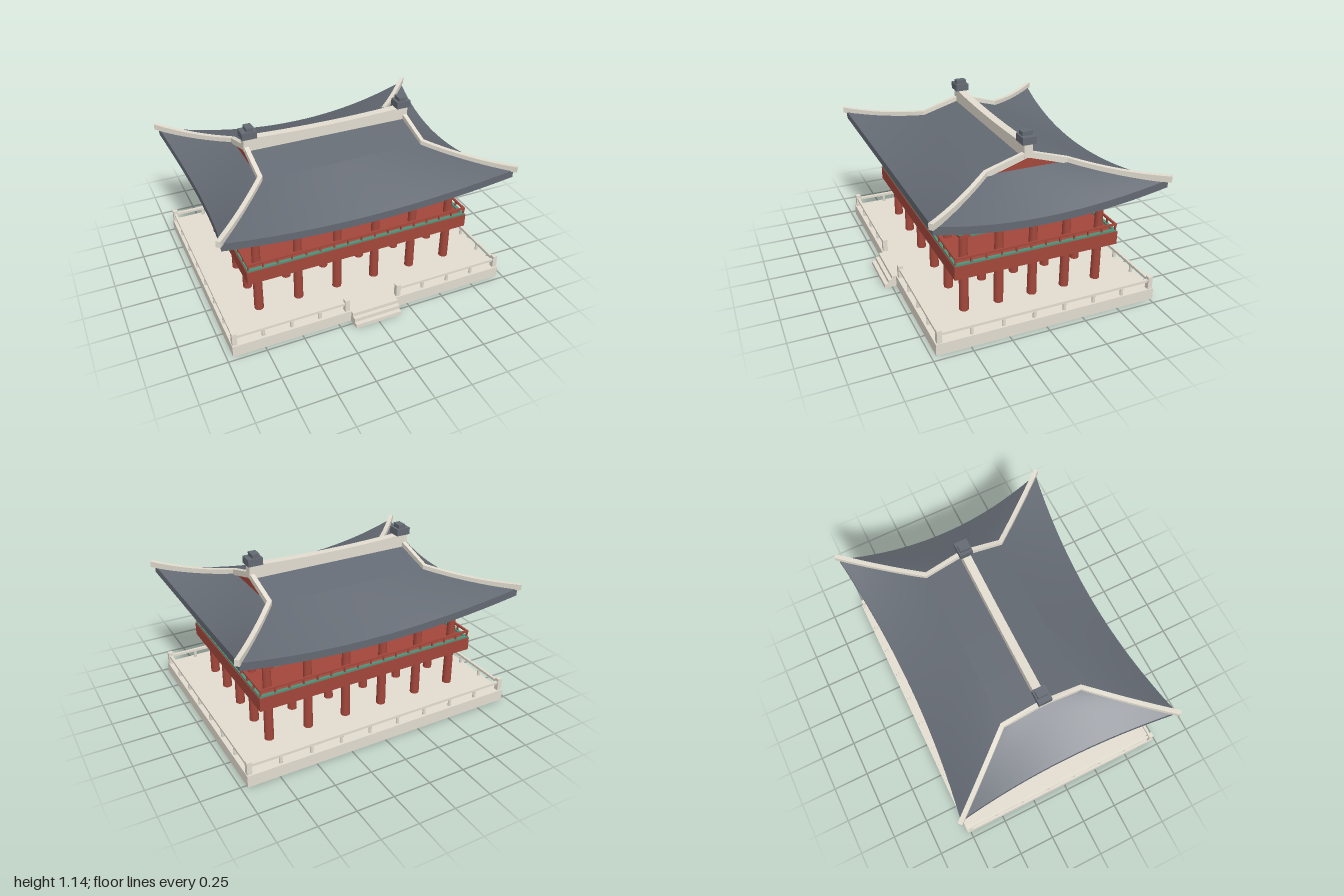
import * as THREE from 'three';

const mat = (name, color) => Object.assign(new THREE.MeshStandardMaterial({ color }), { name });
const M = {
  stone: mat('pale stone', 0xe3ddd0),
  red: mat('red wood', 0xa3473b),
  green: mat('green wood', 0x529279),
  soffit: mat('dark green soffit', 0x356b62),
  tile: mat('slate tile', 0x646a73),
  bronze: mat('bell bronze', 0x5b6067),
};

const lerp = THREE.MathUtils.lerp;

function add(parent, name, geo, material, x = 0, y = 0, z = 0) {
  const m = new THREE.Mesh(geo, material);
  m.name = name;
  m.position.set(x, y, z);
  parent.add(m);
  return m;
}
const group = (parent, name, z = 0) => {
  const g = new THREE.Group();
  g.name = name;
  g.position.z = z;
  parent.add(g);
  return g;
};
// box from its bottom height
const box = (p, name, m, w, h, d, x, y, z) =>
  add(p, name, new THREE.BoxGeometry(w, h, d), m, x, y + h / 2, z);
// upright cylinder from y0 to y1
const post = (p, name, m, r0, r1, y0, y1, x, z, n = 14) =>
  add(p, name, new THREE.CylinderGeometry(r1, r0, y1 - y0, n), m, x, (y0 + y1) / 2, z);
// rectangular ring of four bars
function frame(p, name, m, hx, hz, y, h, t) {
  for (const s of [-1, 1]) {
    box(p, name, m, 2 * hx + t, h, t, 0, y, s * hz);
    box(p, name, m, t, h, 2 * hz - t, s * hx, y, 0);
  }
}

// smooth patch: u runs along, v runs outward and down
function patch(fn, nu, nv) {
  const pos = [], idx = [];
  for (let j = 0; j <= nv; j++)
    for (let i = 0; i <= nu; i++) pos.push(...fn((i / nu) * 2 - 1, j / nv));
  for (let j = 0; j < nv; j++)
    for (let i = 0; i < nu; i++) {
      const a = j * (nu + 1) + i, b = a + nu + 1;
      idx.push(a, b, a + 1, b, b + 1, a + 1);
    }
  const g = new THREE.BufferGeometry();
  g.setAttribute('position', new THREE.Float32BufferAttribute(pos, 3));
  g.setIndex(idx);
  g.computeVertexNormals();
  return g;
}

// square-section bar swept along points on its top centreline
function bar(points, w, h) {
  const pos = [];
  const quad = (a, b, c, d) => [a, b, c, a, c, d].forEach((v) => pos.push(v.x, v.y, v.z));
  const rings = points.map((p, i) => {
    const t = new THREE.Vector3();
    for (const [a, b] of [[i - 1, i], [i, i + 1]])
      if (points[a] && points[b]) t.add(points[b].clone().sub(points[a]).setY(0).normalize());
    t.normalize();
    const n = new THREE.Vector3(-t.z, 0, t.x).multiplyScalar(w / 2);
    const A = p.clone().add(n), B = p.clone().sub(n), dn = new THREE.Vector3(0, -h, 0);
    return [A, B, B.clone().add(dn), A.clone().add(dn)];
  });
  for (let i = 0; i < rings.length - 1; i++)
    for (let j = 0; j < 4; j++) {
      const k = (j + 1) % 4;
      quad(rings[i][j], rings[i + 1][j], rings[i + 1][k], rings[i][k]);
    }
  quad(...rings[0]);
  quad(...rings[rings.length - 1].slice().reverse());
  const g = new THREE.BufferGeometry();
  g.setAttribute('position', new THREE.Float32BufferAttribute(pos, 3));
  g.computeVertexNormals();
  return g;
}

function buildTerrace(p) {
  // paving slab on a hollow kerb
  box(p, 'terraceSlab', M.stone, 1.92, 0.015, 1.49, 0, 0.065, 0);
  frame(p, 'terraceKerb', M.stone, 0.953, 0.738, 0, 0.065, 0.014);
  [[0.08, 0.028], [0.053, 0.055], [0.027, 0.08]].forEach(([d, h]) =>
    box(p, 'step', M.stone, 0.325, h, d, 0, 0, 0.745 + d / 2));
  const X = 0.94, Z = 0.72, gate = 0.185;
  const fence = (x0, z0, x1, z1, n) => {
    box(p, 'stoneRail', M.stone, Math.abs(x1 - x0) + 0.018, 0.018, Math.abs(z1 - z0) + 0.018,
      (x0 + x1) / 2, 0.128, (z0 + z1) / 2);
    for (let i = 1; i < n; i++)
      post(p, 'railSupport', M.stone, 0.011, 0.011, 0.08, 0.13, lerp(x0, x1, i / n), lerp(z0, z1, i / n), 10);
  };
  fence(-X, -Z, X, -Z, 9);
  for (const s of [-1, 1]) {
    fence(s * X, -Z, s * X, Z, 7);
    fence(s * X, Z, s * gate, Z, 4);
    for (const [x, z] of [[X, Z], [X, -Z], [gate, Z]])
      box(p, 'railPost', M.stone, 0.032, 0.087, 0.032, s * x, 0.08, z);
  }
}

function buildPavilion(p) {
  const CX = 0.69, CZ = 0.465;
  // columns: full grid below, perimeter only above
  for (let i = 0; i < 6; i++)
    for (let j = 0; j < 5; j++) {
      const x = lerp(-CX, CX, i / 5), z = lerp(-CZ, CZ, j / 4);
      post(p, 'lowerColumn', M.red, 0.031, 0.029, 0.08, 0.37, x, z);
      if (i % 5 && j % 4) continue;
      post(p, 'upperColumn', M.red, 0.028, 0.026, 0.45, 0.64, x, z);
      box(p, 'columnHead', M.red, 0.07, 0.03, 0.07, x, 0.6, z);
    }
  // deck and balustrade
  box(p, 'deck', M.red, 1.56, 0.09, 1.11, 0, 0.36, 0);
  frame(p, 'deckTrim', M.green, 0.765, 0.54, 0.45, 0.012, 0.02);
  frame(p, 'handrail', M.red, 0.768, 0.543, 0.492, 0.012, 0.014);
  for (const s of [-1, 1]) {
    for (let i = 0; i <= 16; i++)
      box(p, 'baluster', M.red, 0.01, 0.034, 0.01, lerp(-0.768, 0.768, i / 16), 0.46, s * 0.543);
    for (let i = 1; i < 11; i++)
      box(p, 'baluster', M.red, 0.01, 0.034, 0.01, s * 0.768, 0.46, lerp(-0.543, 0.543, i / 11));
  }
  // lintel and bracket sets
  frame(p, 'lintel', M.green, CX, CZ, 0.595, 0.037, 0.04);
  frame(p, 'bracketWall', M.soffit, CX, CZ, 0.632, 0.115, 0.02);
  const bracket = (x, z, dx, dz) => {
    post(p, 'bracketStem', M.green, 0.023, 0.031, 0.63, 0.69, x + dx * 0.028, z + dz * 0.028);
    post(p, 'bracketCap', M.green, 0.052, 0.054, 0.683, 0.738, x + dx * 0.04, z + dz * 0.04, 16);
  };
  for (const s of [-1, 1]) {
    for (let i = 0; i <= 12; i++)
      bracket(lerp(-CX, CX, i / 12), s * CZ, i === 0 ? -1 : i === 12 ? 1 : 0, s);
    for (let i = 1; i < 8; i++) bracket(s * CX, lerp(-CZ, CZ, i / 8), s, 0);
  }
  // hanging bell
  const prof = [[0, 0.625], [0.05, 0.62], [0.061, 0.595], [0.07, 0.555], [0.088, 0.488],
    [0.08, 0.488], [0.055, 0.585], [0, 0.6]].reverse();
  add(p, 'bell', new THREE.LatheGeometry(prof.map(([x, y]) => new THREE.Vector2(x, y)), 24), M.bronze);
  post(p, 'bellHanger', M.bronze, 0.012, 0.012, 0.615, 0.68, 0, 0, 8);
  box(p, 'bellBeam', M.red, 0.05, 0.05, 2 * CZ, 0, 0.67, 0);
  // tilted blank board under the eave
  const board = group(p, 'board');
  board.position.set(0, 0.655, 0.545);
  board.rotation.x = 0.36;
  box(board, 'boardFrame', M.red, 0.26, 0.075, 0.012, 0, -0.0375, 0);
  box(board, 'boardPanel', M.bronze, 0.215, 0.045, 0.004, 0, -0.0225, 0.007);
}

function buildRoof(p) {
  const GX = 0.57, GZ = 0.275, EX = 0.97, EZ = 0.75, gableY = 0.905, ridgeY = 0.985;
  const eaveY = (u) => 0.738 + 0.122 * u * u;
  // half-lengths along the side, and outward distances at gable line and eave
  const sides = [[GX, EX, GZ, EZ, 0.7, 0.48], [GZ, EZ, GX, EX, 0.48, 0.7]];
  for (let k = 0; k < 4; k++) {
    const [a0, a1, d0, d1, ia, id] = sides[k % 2];
    const g = group(p, 'roofSide');
    g.rotation.y = (k * Math.PI) / 2;
    const eave = (u, drop = 0) => [a1 * u, eaveY(u) - drop, d1 - 0.07 * (1 - u * u)];
    const slope = (u, w) => {
      const e = eave(u);
      return [lerp(a0 * u, e[0], w),
        lerp(gableY, e[1], w) - 0.06 * u * u * w * (1 - w), lerp(d0, e[2], w)];
    };
    add(g, 'roofSlope', patch(slope, 28, 10), M.tile);
    if (k % 2 === 0)
      add(g, 'upperSlope', patch((u, v) => [a0 * u, lerp(ridgeY, gableY, v), d0 * v], 4, 2), M.tile);
    add(g, 'eaveEdge', patch((u, v) => eave(u, 0.05 * v), 28, 1), M.tile);
    add(g, 'soffit', patch((u, v) => {
      const e = eave(u, 0.05);
      return [lerp(e[0], ia * u, v), lerp(e[1], 0.74, v), lerp(e[2], id, v)];
    }, 28, 4), M.soffit);
  }
  box(p, 'ceiling', M.soffit, 1.4, 0.01, 0.96, 0, 0.74, 0);

  for (const sx of [-1, 1]) {
    // gable wall
    const tri = new THREE.Shape([[-GZ, gableY], [GZ, gableY], [0, ridgeY]].map((q) => new THREE.Vector2(...q)));
    add(p, 'gableWall', new THREE.ShapeGeometry(tri), M.red, sx * GX).rotation.y = (sx * Math.PI) / 2;
    // gable and hip ridges
    for (const sz of [-1, 1]) {
      const pts = [new THREE.Vector3(sx * GX, 1.018, 0), new THREE.Vector3(sx * GX, 0.932, sz * GZ)];
      for (let i = 1; i <= 8; i++) {
        const w = i / 8;
        pts.push(new THREE.Vector3(sx * lerp(GX, 0.988, w),
          lerp(0.932, 0.892, w) - 0.08 * w * (1 - w), sz * lerp(GZ, 0.764, w)));
      }
      add(p, 'hipRidge', bar(pts, 0.03, 0.04), M.stone);
    }
    // ridge-end ornaments
    box(p, 'ridgeOrnament', M.tile, 0.1, 0.048, 0.09, sx * 0.55, 1.067, 0);
    box(p, 'ridgeOrnamentTop', M.tile, 0.05, 0.026, 0.07, sx * 0.542, 1.115, 0);
  }
  const ridge = [];
  for (let i = -6; i <= 6; i++) ridge.push(new THREE.Vector3((0.588 * i) / 6, 1.05 + 0.018 * (i / 6) ** 2, 0));
  add(p, 'mainRidge', bar(ridge, 0.056, 0.09), M.stone);
}

export function createModel() {
  const root = new THREE.Group();
  root.name = 'bellPavilion';
  buildTerrace(group(root, 'terraceGroup', -0.025));
  buildPavilion(group(root, 'pavilionGroup', -0.025));
  buildRoof(group(root, 'roofGroup', -0.03));
  return root;
}
